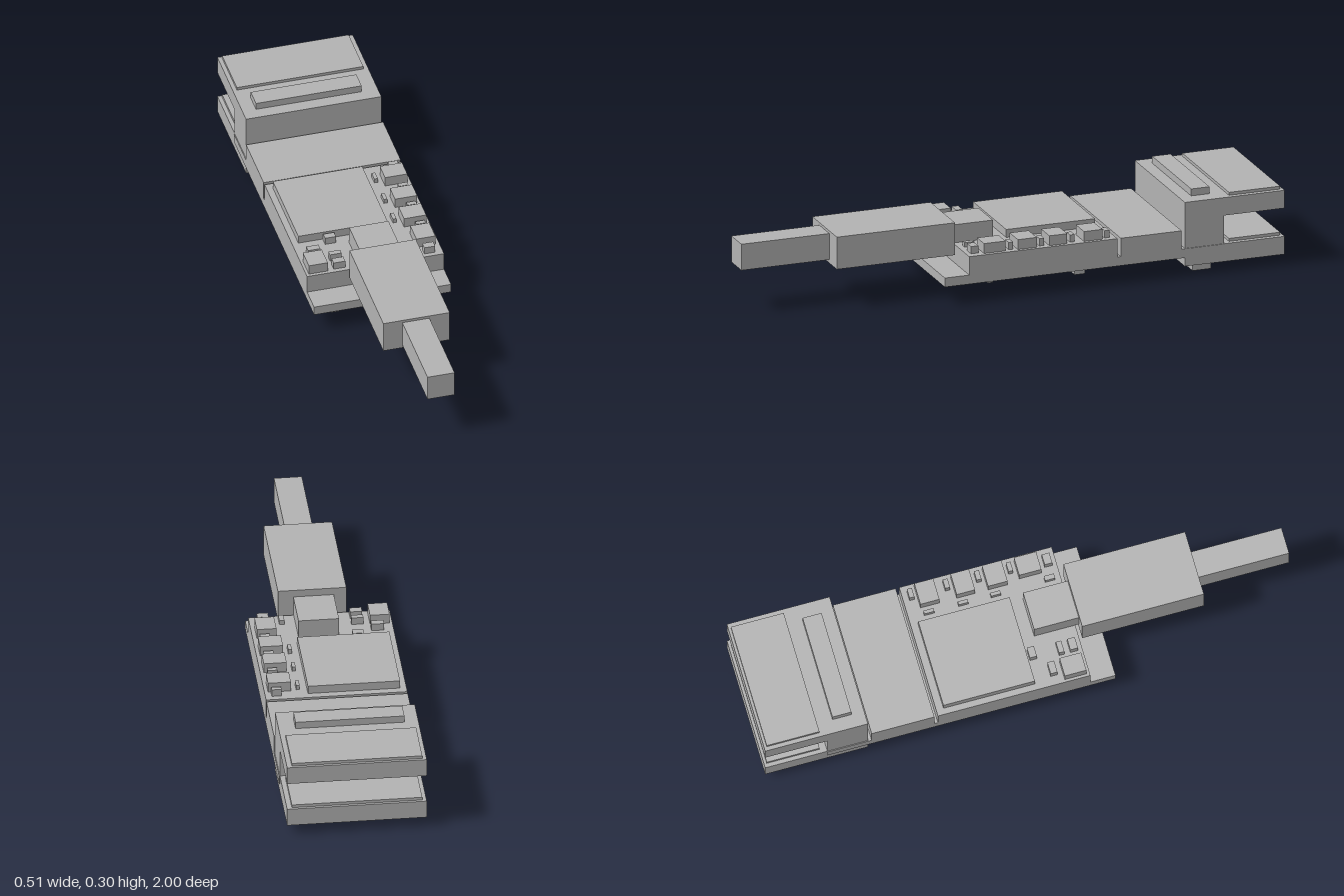
import * as THREE from 'three';

export function createModel() {
  const model = new THREE.Group();
  const grey = new THREE.MeshStandardMaterial({ color: 0xb2b2b2 });
  grey.name = 'plainGrey';

  // Box given by its limits on each axis
  function box(name, x0, x1, y0, y1, z0, z1, parent = model) {
    const mesh = new THREE.Mesh(new THREE.BoxGeometry(x1 - x0, y1 - y0, z1 - z0), grey);
    mesh.position.set((x0 + x1) / 2, (y0 + y1) / 2, (z0 + z1) / 2);
    mesh.name = name;
    parent.add(mesh);
  }

  // Cable and plug
  box('cable', -0.03, 0.07, 0.16, 0.258, 0.66, 1);
  box('plug', -0.1, 0.145, 0.147, 0.268, 0.215, 0.665);
  box('plugSocket', -0.055, 0.09, 0.173, 0.241, 0.05, 0.215);

  // Base board with raised blocks
  box('baseBoard', -0.253, 0.253, 0.07, 0.104, -0.77, 0.295);
  box('circuitBlock', -0.253, 0.253, 0.104, 0.173, -0.362, 0.202);
  box('rearBlock', -0.253, 0.253, 0.104, 0.173, -0.607, -0.375);
  box('mainChip', -0.23, 0.1, 0.173, 0.203, -0.335, 0.003);

  // Forked clamp, a sideways U drawn in z and y
  const outline = [[-0.62, 0.037], [-0.62, 0.277], [-1, 0.277], [-1, 0.21],
    [-0.77, 0.21], [-0.77, 0.104], [-1, 0.104], [-1, 0.037]];
  const shape = new THREE.Shape(outline.map(([z, y]) => new THREE.Vector2(-z, y)));
  const clampGeometry = new THREE.ExtrudeGeometry(shape, { depth: 0.5, bevelEnabled: false });
  clampGeometry.rotateY(Math.PI / 2).translate(-0.25, 0, 0);
  const clamp = new THREE.Mesh(clampGeometry, grey);
  clamp.name = 'forkedClamp';
  model.add(clamp);
  box('upperPad', -0.235, 0.232, 0.277, 0.288, -0.99, -0.795);
  box('lowerPad', -0.235, 0.232, 0.104, 0.115, -0.99, -0.795);
  box('upperRidge', -0.2, 0.19, 0.277, 0.303, -0.737, -0.667);
  box('lowerRidge', -0.213, 0.203, 0, 0.037, -0.737, -0.667);

  // Components on top: x range, z range, top height
  const topParts = new THREE.Group();
  topParts.name = 'topComponents';
  model.add(topParts);
  [
    [0.158, 0.24, -0.31, -0.24, 0.21], [0.158, 0.24, -0.176, -0.108, 0.21],
    [0.158, 0.24, -0.06, 0.012, 0.21], [0.168, 0.238, 0.058, 0.14, 0.21],
    [-0.243, -0.173, 0.11, 0.19, 0.21],
    [0.195, 0.23, -0.34, -0.322, 0.2], [0.195, 0.23, -0.208, -0.19, 0.2],
    [0.195, 0.23, -0.092, -0.074, 0.2], [0.195, 0.23, 0.026, 0.043, 0.2],
    [0.185, 0.225, 0.157, 0.185, 0.2],
    [-0.218, -0.173, 0.065, 0.09, 0.2], [-0.14, -0.1, 0.01, 0.036, 0.2],
    [-0.15, -0.107, 0.115, 0.135, 0.2], [-0.15, -0.107, 0.157, 0.185, 0.2],
    [0.126, 0.139, -0.305, -0.268, 0.19], [0.126, 0.139, -0.178, -0.142, 0.19],
    [0.126, 0.139, -0.058, -0.022, 0.19], [0.13, 0.148, 0.143, 0.18, 0.19],
  ].forEach(([x0, x1, z0, z1, y]) => box('topComponent', x0, x1, 0.173, y, z0, z1, topParts));

  // Components underneath: x centre, z centre, width, length, lowest height
  const lowerParts = new THREE.Group();
  lowerParts.name = 'undersideComponents';
  model.add(lowerParts);
  [
    [-0.115, -0.248, 0.07, 0.04, 0.032], [0.15, -0.245, 0.07, 0.04, 0.032],
    [-0.165, -0.11, 0.03, 0.02, 0.05], [-0.135, -0.17, 0.06, 0.06, 0.05],
    [0.095, -0.115, 0.04, 0.04, 0.05], [0.14, -0.195, 0.05, 0.035, 0.05],
    [-0.01, 0.03, 0.08, 0.07, 0.05], [-0.1, 0.03, 0.04, 0.02, 0.05],
    [-0.082, 0.105, 0.05, 0.03, 0.05], [-0.145, 0.145, 0.035, 0.025, 0.05],
    [-0.165, 0.245, 0.03, 0.03, 0.04], [-0.115, 0.215, 0.04, 0.04, 0.045],
    [-0.035, 0.2, 0.03, 0.025, 0.05], [0.01, 0.17, 0.045, 0.045, 0.05],
    [0.08, 0.17, 0.04, 0.05, 0.04], [0.13, 0.1, 0.035, 0.02, 0.05],
    [0.195, 0.105, 0.03, 0.02, 0.05], [0.165, 0.205, 0.04, 0.04, 0.045],
    [0.12, 0.235, 0.025, 0.025, 0.05],
  ].forEach(([x, z, w, l, y]) =>
    box('undersideComponent', x - w / 2, x + w / 2, y, 0.07, z - l / 2, z + l / 2, lowerParts));

  return model;
}
